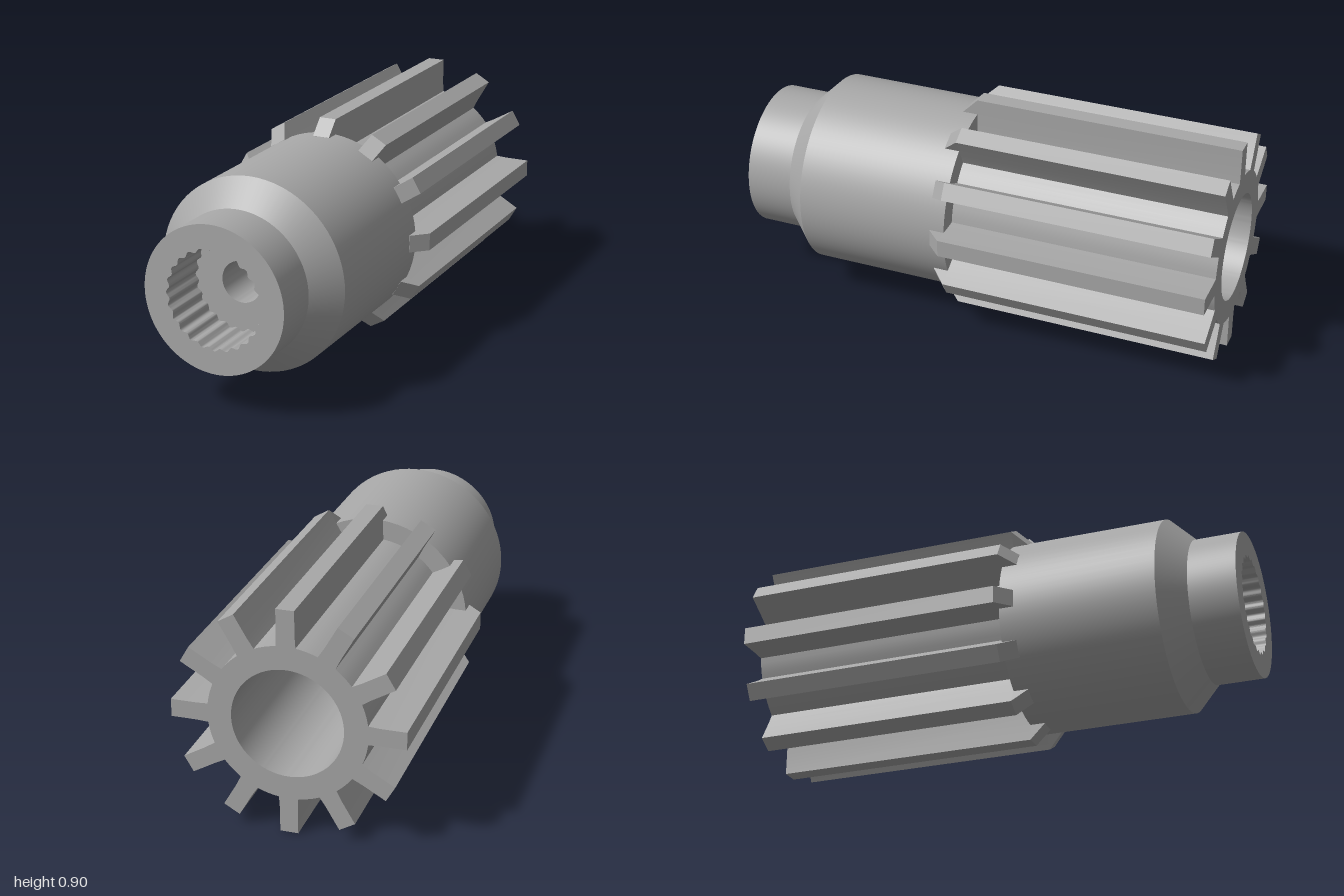
import * as THREE from 'three';
import { toCreasedNormals } from 'three/addons/utils/BufferGeometryUtils.js';

const AXIS_Y = 0.45, TEETH = 12, TIP = 0.449, HALF = 0.035, BORE = 0.215;

// Extrude an outline along z between two positions, keeping sharp edges
function prism(shape, z0, z1) {
  const g = new THREE.ExtrudeGeometry(shape, { depth: z1 - z0, bevelEnabled: false, curveSegments: 72 });
  g.translate(0, 0, z0);
  return toCreasedNormals(g, 0.5);
}

function circlePath(r) {
  return new THREE.Path().absarc(0, 0, r, 0, Math.PI * 2, true);
}

// Outline of the toothed section: straight teeth with slightly flared roots
function gearShape() {
  const profile = [[0.305, -0.0375], [0.349, -HALF], [TIP, -HALF], [TIP, HALF], [0.349, HALF], [0.305, 0.0375]];
  const pts = [];
  for (let i = 0; i < TEETH; i++) {
    const a = (i / TEETH) * Math.PI * 2;
    for (const [r, t] of profile) {
      pts.push(new THREE.Vector2(r * Math.cos(a) - t * Math.sin(a), r * Math.sin(a) + t * Math.cos(a)));
    }
    for (const k of [0.38, 0.5, 0.62]) {
      const m = a + (k * Math.PI * 2) / TEETH;
      pts.push(new THREE.Vector2(0.307 * Math.cos(m), 0.307 * Math.sin(m)));
    }
  }
  const shape = new THREE.Shape(pts);
  shape.holes.push(circlePath(BORE));
  return shape;
}

// Ring with a wavy, splined hole
function collarShape() {
  const shape = new THREE.Shape().absarc(0, 0, 0.29, 0, Math.PI * 2, false);
  const pts = [], n = 240, waves = 24;
  for (let i = 0; i < n; i++) {
    const a = (-i / n) * Math.PI * 2;
    const r = 0.192 + 0.006 * Math.cos(waves * a);
    pts.push(new THREE.Vector2(r * Math.cos(a), r * Math.sin(a)));
  }
  shape.holes.push(new THREE.Path(pts));
  return shape;
}

export function createModel() {
  const steel = new THREE.MeshStandardMaterial({ color: 0xa8a8a8 });
  steel.name = 'steel grey';
  const model = new THREE.Group();
  model.name = 'splinedPinionShaft';
  const add = (name, geometry, parent = model) => {
    const mesh = new THREE.Mesh(geometry, steel);
    mesh.name = name;
    parent.add(mesh);
    return mesh;
  };

  // Hollow turned body: outside, chamfer, socket floor, small hole, rear bore
  const section = [
    [BORE, 0.08], [0.388, 0.08], [0.388, 0.71], [0.29, 0.81], [0.21, 0.81], [0.21, 0.79],
    [0.082, 0.79], [0.082, 0.6], [BORE, 0.6], [BORE, 0.08],
  ].map(([r, z]) => new THREE.Vector2(r, z));
  const body = new THREE.LatheGeometry(section, 72);
  body.rotateX(Math.PI / 2);
  add('shaftBody', toCreasedNormals(body, 0.5));

  // Front collar with splined socket, and rear gear
  add('splinedCollar', prism(collarShape(), 0.79, 1));
  add('gear', prism(gearShape(), -1, 0.08));

  // Sloped front ends of the teeth, lying on the body
  const ends = new THREE.Group();
  ends.name = 'toothEnds';
  model.add(ends);
  const wedge = new THREE.Shape([[0.37, -0.08], [0.37, -0.14], [0.388, -0.14], [TIP, -0.08]].map(
    ([r, z]) => new THREE.Vector2(r, z)));
  const end = new THREE.ExtrudeGeometry(wedge, { depth: HALF * 2, bevelEnabled: false });
  end.translate(0, 0, -HALF);
  end.rotateX(-Math.PI / 2);
  const endGeometry = toCreasedNormals(end, 0.5);
  for (let i = 0; i < TEETH; i++) {
    add('toothEnd', endGeometry, ends).rotation.z = (i / TEETH) * Math.PI * 2;
  }

  // Raise the axis so the lowest tooth touches the ground
  for (const part of model.children) part.position.y = AXIS_Y;
  return model;
}
